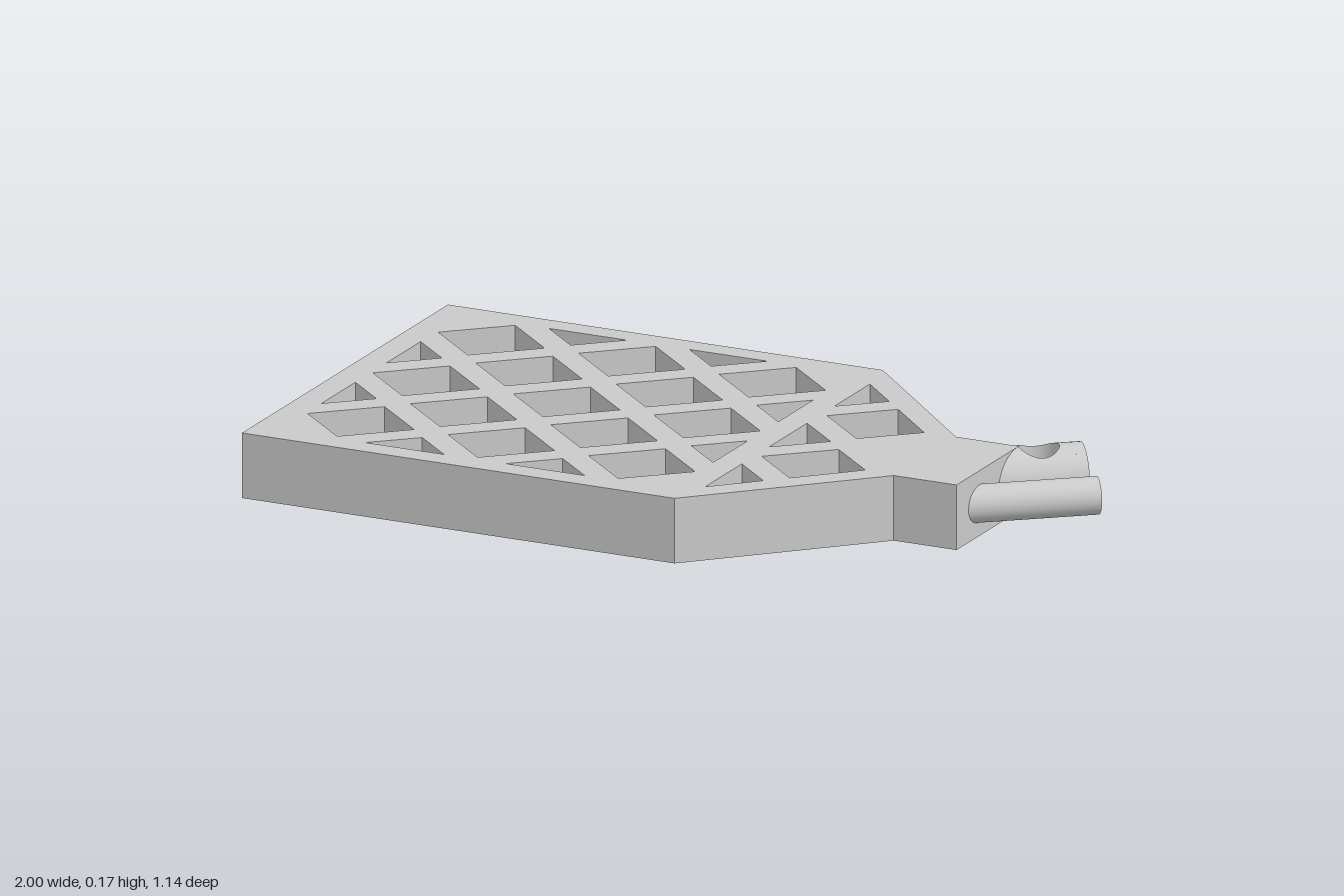
import * as THREE from 'three';
import { ParametricGeometry } from 'three/addons/geometries/ParametricGeometry.js';

const HEIGHT = 0.166;
const ROD_ANGLE = 0.675;

// Keep the part of a polygon where a*x + b*z <= c
function clip(points, [a, b, c]) {
  const result = [];
  points.forEach((p, i) => {
    const q = points[(i + 1) % points.length];
    const dp = a * p.x + b * p.y - c;
    const dq = a * q.x + b * q.y - c;
    if (dp <= 0) result.push(p);
    if (dp * dq < 0) result.push(p.clone().lerp(q, dp / (dp - dq)));
  });
  return result;
}

// Diamond openings on a staggered lattice, trimmed to a frame of half-planes
function latticeHoles(columns, parity, frame) {
  const holes = [];
  for (const i of columns) {
    for (let j = -4; j <= 4; j++) {
      if (Math.abs(i + j) % 2 !== parity) continue;
      const x = -0.781 + 0.19 * i;
      const z = -0.003 + 0.18 * j;
      const diamond = [[0.144, 0], [0, 0.131], [-0.144, 0], [0, -0.131]]
        .map(([dx, dz]) => new THREE.Vector2(x + dx, z + dz));
      const hole = frame.reduce(clip, diamond);
      if (hole.length > 2 && Math.abs(THREE.ShapeUtils.area(hole)) > 0.003) holes.push(hole);
    }
  }
  return holes;
}

function makePlate(material) {
  const flip = (points) => points.map((p) => new THREE.Vector2(p.x, -p.y));
  // Counter-clockwise once flipped, so that the hole walls face into the holes
  const outline = [
    [-1, 0.566], [0.172, 0.57], [0.57, 0.173], [0.74, 0.173],
    [0.74, -0.17], [0.57, -0.17], [0.177, -0.568], [-1, -0.57],
  ].map(([x, z]) => new THREE.Vector2(x, z));
  const shape = new THREE.Shape(flip(outline));
  const bodyFrame = [[-1, 0, 0.93], [1, 0, 0.13], [0, -1, 0.508], [0, 1, 0.503]];
  const noseFrame = [[-1, 0, -0.198], [1, -1, 0.652], [1, 1, 0.652]];
  const holes = [
    ...latticeHoles([-1, 0, 1, 2, 3, 4, 5], 0, bodyFrame),
    ...latticeHoles([5, 6], 1, noseFrame),
  ];
  holes.forEach((hole) => shape.holes.push(new THREE.Path(flip(hole))));
  const geometry = new THREE.ExtrudeGeometry(shape, { depth: HEIGHT, bevelEnabled: false });
  geometry.rotateX(-Math.PI / 2);
  const plate = new THREE.Mesh(geometry, material);
  plate.name = 'latticePlate';
  return plate;
}

// Solid round bar along local x, from x0 to x1
function bar(name, radius, x0, x1, material) {
  const geometry = new THREE.CylinderGeometry(radius, radius, x1 - x0, 48);
  geometry.rotateZ(-Math.PI / 2);
  geometry.translate((x0 + x1) / 2, 0, 0);
  const mesh = new THREE.Mesh(geometry, material);
  mesh.name = name;
  return mesh;
}

// Group whose origin is the outer end of a rod and whose x axis runs along it
function rodGroup(name, x, z) {
  const group = new THREE.Group();
  group.name = name;
  group.position.set(x, HEIGHT / 2, z);
  group.rotation.y = ROD_ANGLE;
  return group;
}

function makeDrilledRod(material) {
  const R = 0.0828, bore = 0.05, half = 0.083, centre = -0.109;
  const rod = rodGroup('drilledRod', 0.866, -0.265);
  rod.add(bar('rodRoot', R, -0.3, centre - half, material));
  rod.add(bar('rodTip', R, centre + half, 0, material));

  // Half of the round surface, spreading from the bore rim to a rectangle
  const skin = new ParametricGeometry((u, v, target) => {
    const a = u * Math.PI * 2, c = Math.cos(a), s = Math.sin(a);
    const m = Math.max(Math.abs(c), Math.abs(s));
    const rim = Math.asin(bore * s / R);
    const theta = THREE.MathUtils.lerp(rim, Math.PI / 2 * s / m, v);
    const x = THREE.MathUtils.lerp(bore * c, half * c / m, v);
    target.set(x, R * Math.cos(theta), R * Math.sin(theta));
  }, 64, 12);
  for (const [name, turn] of [['upperSkin', 0], ['lowerSkin', Math.PI]]) {
    const mesh = new THREE.Mesh(skin, material);
    mesh.name = name;
    mesh.position.x = centre;
    mesh.rotation.x = turn;
    rod.add(mesh);
  }

  // Inner wall of the vertical bore
  const wall = new ParametricGeometry((u, v, target) => {
    const a = u * Math.PI * 2, z = bore * Math.sin(a);
    target.set(bore * Math.cos(a), Math.sqrt(R * R - z * z) * (2 * v - 1), z);
  }, 64, 2);
  const boreWall = new THREE.Mesh(wall, material);
  boreWall.name = 'boreWall';
  boreWall.position.x = centre;
  rod.add(boreWall);
  return rod;
}

export function createModel() {
  const grey = new THREE.MeshStandardMaterial({ color: 0xcacaca });
  grey.name = 'lightGrey';

  const model = new THREE.Group();
  model.name = 'latticePaddle';
  model.add(makePlate(grey), makeDrilledRod(grey));

  // Thin rod beside the drilled one
  const thinRod = rodGroup('thinRod', 0.97, -0.137);
  thinRod.add(bar('thinRodBar', 0.047, -0.35, 0, grey));
  model.add(thinRod);
  return model;
}
